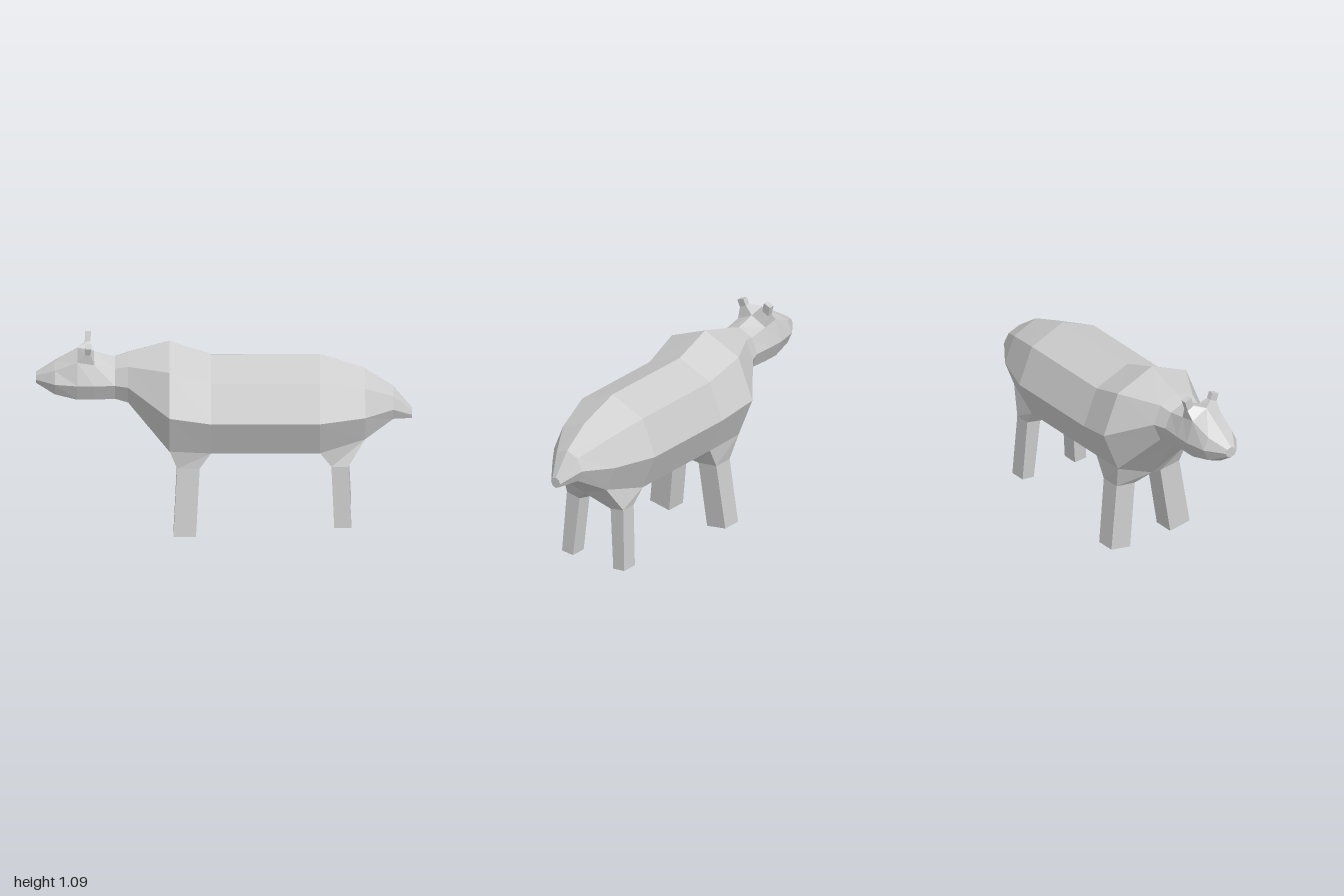
import * as THREE from 'three';

const material = new THREE.MeshStandardMaterial({ color: 0xcccccc, flatShading: true });
const V = (x, y, z) => new THREE.Vector3(x, y, z);

// Joins rings of points into a faceted skin; rings run counter-clockwise about the loft direction
function loft(name, rings, { startCap = false, endCap = true, skip = () => false } = {}) {
  const pos = [];
  const tri = (...pts) => pts.forEach((p) => pos.push(p.x, p.y, p.z));
  const n = rings[0].length;
  for (let r = 0; r < rings.length - 1; r++) {
    const a = rings[r], b = rings[r + 1];
    for (let i = 0; i < n; i++) {
      if (skip(r, i)) continue;
      const j = (i + 1) % n;
      tri(a[i], a[j], b[j]);
      tri(a[i], b[j], b[i]);
    }
  }
  const first = rings[0], last = rings[rings.length - 1];
  for (let i = 1; i < n - 1; i++) {
    if (startCap) tri(first[0], first[i + 1], first[i]);
    if (endCap) tri(last[0], last[i], last[i + 1]);
  }
  const geometry = new THREE.BufferGeometry();
  geometry.setAttribute('position', new THREE.Float32BufferAttribute(pos, 3));
  geometry.computeVertexNormals();
  const mesh = new THREE.Mesh(geometry, material);
  mesh.name = name;
  return mesh;
}

// Body sections from snout to rump: x, top, middle, bottom, half width
const SECTIONS = [
  [-1.0, 0.88, 0.85, 0.82, 0.035],
  [-0.9, 0.945, 0.85, 0.755, 0.108],
  [-0.78, 1.02, 0.85, 0.72, 0.13],
  [-0.69, 1.0, 0.85, 0.72, 0.13],
  [-0.58, 0.97, 0.85, 0.725, 0.125],
  [-0.51, 0.995, 0.85, 0.705, 0.15],
  [-0.29, 1.06, 0.74, 0.42, 0.318],
  [-0.07, 0.98, 0.695, 0.41, 0.288],
  [0.51, 0.98, 0.695, 0.41, 0.288],
  [0.75, 0.9, 0.695, 0.49, 0.205],
  [0.9, 0.795, 0.7, 0.61, 0.1],
  [1.0, 0.672, 0.642, 0.612, 0.03],
];
const HEAD = 2, SHOULDER = 6, HIP = 8; // sections the limbs grow from

// Eight points: top, upper left, left, lower left, bottom, then up the right side
function octagon([x, top, mid, bottom, w]) {
  return Array.from({ length: 8 }, (_, i) => {
    const c = Math.cos((i * Math.PI) / 4), s = Math.sin((i * Math.PI) / 4);
    return V(x, mid + c * (c > 0 ? top - mid : mid - bottom), s * w);
  });
}

// Four corners of a limb section: inner and outer edges given as [z, y]
const limbRing = (x0, x1, [zi, yi], [zo, yo], side) => [
  V(x0, yi, side * zi), V(x1, yi, side * zi), V(x1, yo, side * zo), V(x0, yo, side * zo),
];

export function createModel() {
  const model = new THREE.Group();
  model.name = 'animal';
  const rings = SECTIONS.map(octagon);

  // Body and head, left open where the legs and horns grow out
  const legFaces = [3, 4], hornFaces = [0, 7];
  model.add(loft('body', rings, {
    startCap: true,
    skip: (r, i) => (r === HEAD && hornFaces.includes(i)) ||
      ((r === SHOULDER || r === HIP) && legFaces.includes(i)),
  }));

  for (const side of [1, -1]) {
    const label = side > 0 ? 'Left' : 'Right';
    const left = side > 0;
    // The body face a limb grows from, inner edge first
    const root = (r, inner, outer) => {
      const o = left ? outer : 8 - outer;
      return [rings[r][inner], rings[r + 1][inner], rings[r + 1][o], rings[r][o]];
    };
    const orient = (list, flip) => (flip ? list.map((ring) => [...ring].reverse()) : list);

    // Front legs, splayed outwards; the right one reaches slightly lower
    model.add(loft('frontLeg' + label, orient([
      root(SHOULDER, 4, 3),
      left ? limbRing(-0.25, -0.13, [0.085, 0.39], [0.21, 0.41], side)
        : limbRing(-0.245, -0.13, [0.08, 0.365], [0.2, 0.38], side),
      left ? limbRing(-0.27, -0.15, [0.135, 0.016], [0.263, 0.038], side)
        : limbRing(-0.26, -0.15, [0.122, 0.0], [0.245, 0.018], side),
    ], !left)));

    // Hind legs
    model.add(loft('hindLeg' + label, orient([
      root(HIP, 4, 3),
      limbRing(0.57, 0.66, [0.105, 0.395], [0.19, 0.41], side),
      limbRing(0.585, 0.677, [0.136, 0.058], [0.21, 0.065], side),
    ], !left)));

    // Horns on flared bases
    const lift = left ? 0 : 0.015;
    model.add(loft('horn' + label, orient([
      root(HEAD, 0, 1),
      limbRing(-0.74, -0.71, [0.055, 1.035], [0.095, 1.015], side),
      limbRing(-0.738, -0.706, [0.07, 1.07 + lift], [0.11, 1.055 + lift], side),
    ], left)));
  }
  return model;
}
